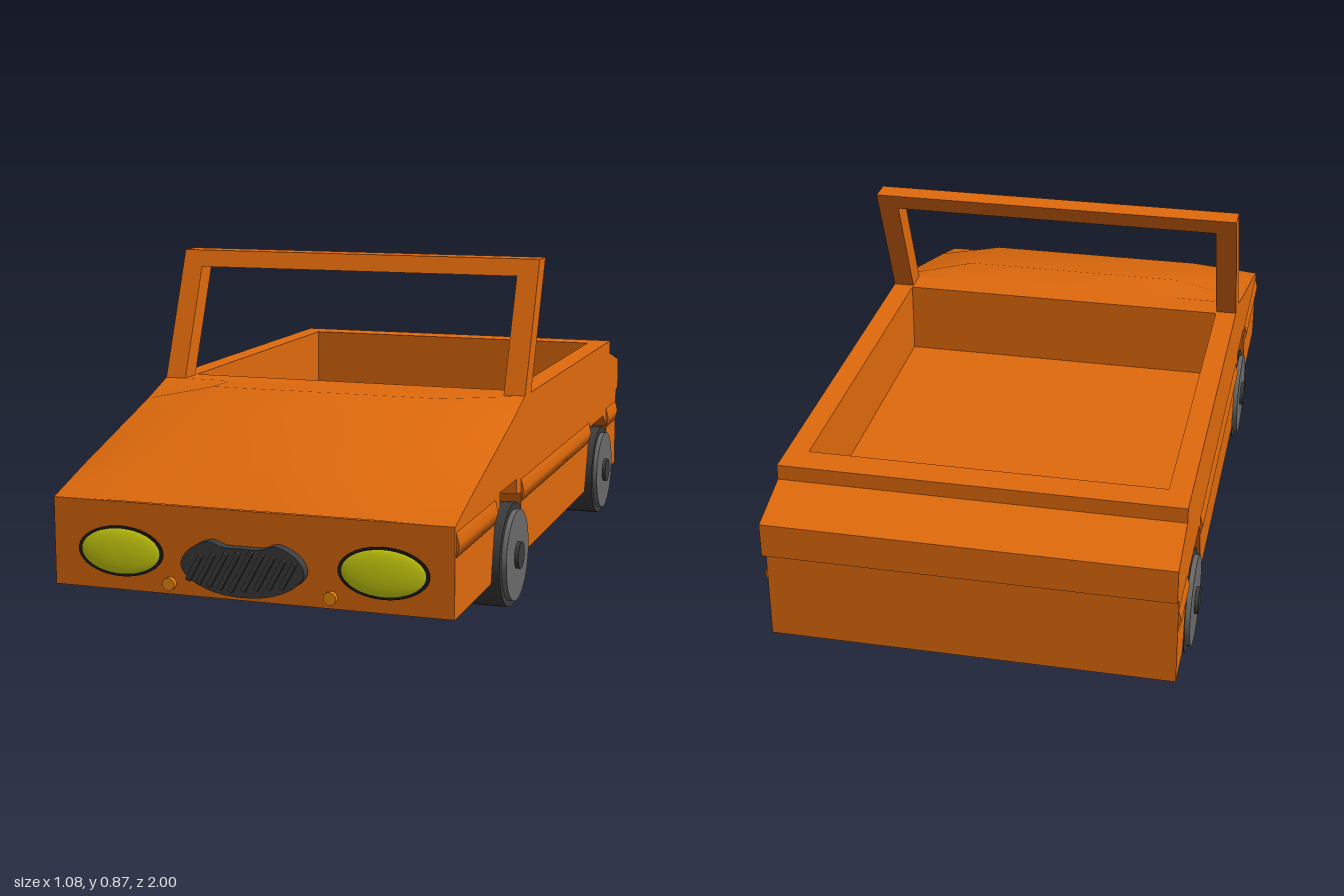
import * as THREE from 'three';
import { toCreasedNormals } from 'three/addons/utils/BufferGeometryUtils.js';

const material = (color) => new THREE.MeshStandardMaterial({ color });
const MAT = {
  body: material(0xe06a0c),
  lamp: material(0xd8dc10),
  signal: material(0xf08a0a),
  dark: material(0x3c3c3c),
  black: material(0x1c1c1c),
  rim: material(0x6a6a6a),
};
const CX = -0.0075;   // body centre line
const HALF = 0.5125;  // half the body width

function add(parent, name, geometry, mat, x = 0, y = 0, z = 0) {
  const mesh = new THREE.Mesh(geometry, mat);
  mesh.name = name;
  mesh.position.set(x, y, z);
  parent.add(mesh);
  return mesh;
}

const outline = (points) => new THREE.Shape(points.map(([a, b]) => new THREE.Vector2(a, b)));

// Extrudes a side outline of [z, y] points across the car from x0 to x1
function across(points, x0, x1) {
  const g = new THREE.ExtrudeGeometry(outline(points), { depth: x1 - x0, bevelEnabled: false });
  return g.rotateY(-Math.PI / 2).translate(x1, 0, 0);
}

function createLowerBody() {
  const group = new THREE.Group();
  group.name = 'lowerBody';
  // Solid middle between the wheel wells; its top is the cabin floor
  add(group, 'floorPan', new THREE.BoxGeometry(0.8, 0.22, 1.93), MAT.body, CX, 0.21, -0.005);
  // Side panels with wheel arches
  const side = [
    [0.96, 0.1], [0.96, 0.32], [-0.97, 0.32], [-0.97, 0.1],
    [-0.845, 0.1], [-0.81, 0.25], [-0.76, 0.29], [-0.56, 0.29], [-0.54, 0.25], [-0.49, 0.1],
    [0.3, 0.1], [0.335, 0.27], [0.38, 0.275], [0.38, 0.315], [0.55, 0.315], [0.55, 0.275],
    [0.595, 0.27], [0.63, 0.1],
  ];
  for (const s of [-1, 1]) {
    const [a, b] = [CX + s * 0.4, CX + s * HALF];
    add(group, 'sidePanel', across(side, Math.min(a, b), Math.max(a, b)), MAT.body);
    // Raised waist moulding, broken at the arches
    for (const [z0, z1] of [[0.33, -0.54], [0.95, 0.595], [-0.81, -0.965]]) {
      const strip = new THREE.CylinderGeometry(0.03, 0.03, z0 - z1, 4).rotateX(Math.PI / 2);
      strip.scale(0.25, 1, 1);
      add(group, 'waistMoulding', strip, MAT.body, b, 0.275, (z0 + z1) / 2);
    }
  }
  return group;
}

// Bonnet grid: flat crown, sides falling to a straight edge, vertical skirts
function createHood() {
  const xs = [-HALF, -HALF, -0.32, 0, 0.32, HALF, HALF];
  const rows = [[0.3, 0.52, 0.52], [0.42, 0.48, 0.522], [0.8, 0.37, 0.41], [0.96, 0.32, 0.322]];
  const g = new THREE.PlaneGeometry(1, 1, xs.length - 1, rows.length - 1);
  const p = g.attributes.position;
  for (let i = 0; i < p.count; i++) {
    const c = i % xs.length;
    const [z, edge, crown] = rows[Math.floor(i / xs.length)];
    const skirt = c === 0 || c === xs.length - 1;
    const y = skirt ? 0.32 : c === 1 || c === xs.length - 2 ? edge : crown;
    p.setXYZ(i, CX + xs[c], y, z);
  }
  return toCreasedNormals(g, 0.6);
}

// Open tub walls around the cabin
function createTub() {
  const shape = outline([[-HALF, -0.3], [HALF, -0.3], [HALF, 0.85], [-HALF, 0.85]]);
  shape.holes.push(outline([[-0.455, -0.22], [-0.455, 0.77], [0.455, 0.77], [0.455, -0.22]]));
  const g = new THREE.ExtrudeGeometry(shape, { depth: 0.2, bevelEnabled: false });
  return g.rotateX(-Math.PI / 2).translate(CX, 0.32, 0);
}

// Upright frame sheared backwards
function createWindscreenFrame() {
  const w = 0.455;
  const shape = outline([
    [-HALF, 0.52], [-w, 0.52], [-w, 0.82], [w, 0.82], [w, 0.52],
    [HALF, 0.52], [HALF, 0.865], [-HALF, 0.865],
  ]);
  const g = new THREE.ExtrudeGeometry(shape, { depth: 0.068, bevelEnabled: false });
  const p = g.attributes.position;
  for (let i = 0; i < p.count; i++) {
    p.setZ(i, p.getZ(i) + 0.232 - (p.getY(i) - 0.52) * 0.42);
  }
  g.translate(CX, 0, 0);
  g.computeVertexNormals();
  return g;
}

// One wheel pointing towards side s
function createWheel(s, z) {
  const wheel = new THREE.Group();
  wheel.name = 'wheel';
  const disc = (name, r, x0, x1, mat) => {
    const g = new THREE.CylinderGeometry(r, r, x1 - x0, 32).rotateZ(Math.PI / 2);
    add(wheel, name, g, mat, s * (x0 + x1) / 2);
  };
  disc('tyre', 0.135, 0.405, 0.517, MAT.dark);
  disc('rim', 0.118, 0.5, 0.53, MAT.rim);
  disc('hubCap', 0.035, 0.52, 0.54, MAT.dark);
  wheel.position.set(0, 0.135, z);
  return wheel;
}

function createGrille() {
  const grille = new THREE.Group();
  grille.name = 'grille';
  // Kidney-shaped plate
  const half = [[0, -0.065], [0.08, -0.055], [0.14, -0.025], [0.158, 0.005], [0.14, 0.04],
    [0.085, 0.066], [0.05, 0.055], [0, 0.054]];
  const loop = [...half, ...half.slice(1, -1).reverse().map(([x, y]) => [-x, y])];
  const curve = new THREE.CatmullRomCurve3(loop.map(([x, y]) => new THREE.Vector3(x, y, 0)), true);
  const shape = new THREE.Shape(curve.getPoints(48).map((v) => new THREE.Vector2(v.x, v.y)));
  const plate = new THREE.ExtrudeGeometry(shape, { depth: 0.03, bevelEnabled: false });
  add(grille, 'grillePlate', plate, MAT.dark);
  // Slanted slats
  for (let i = -4; i <= 4; i++) {
    const slat = new THREE.BoxGeometry(0.012, 0.115 - Math.abs(i) * 0.011, 0.016);
    add(grille, 'grilleSlat', slat, MAT.dark, i * 0.03, 0, 0.032).rotation.z = -0.5;
  }
  grille.position.set(-0.012, 0.18, 0.958);
  return grille;
}

export function createModel() {
  const car = new THREE.Group();
  car.name = 'openCar';

  car.add(createLowerBody());
  add(car, 'hood', createHood(), MAT.body);
  add(car, 'cabinTub', createTub(), MAT.body);
  add(car, 'windscreenFrame', createWindscreenFrame(), MAT.body);

  // Sloping tail with an overhanging lip
  const tail = [[-0.85, 0.32], [-0.85, 0.48], [-1, 0.44], [-1, 0.35], [-0.97, 0.34], [-0.97, 0.32]];
  add(car, 'tailDeck', across(tail, CX - HALF, CX + HALF), MAT.body);

  for (const s of [-1, 1]) {
    for (const z of [0.46, -0.67]) car.add(createWheel(s, z));
    // Oval headlamp with a dark surround
    const x = CX / 2 + s * 0.337;
    const surround = new THREE.CylinderGeometry(1, 1, 1, 40).rotateX(Math.PI / 2);
    add(car, 'headlampSurround', surround, MAT.black, x, 0.197, 0.96).scale.set(0.113, 0.063, 0.006);
    const lens = new THREE.SphereGeometry(1, 40, 20);
    add(car, 'headlamp', lens, MAT.lamp, x, 0.197, 0.96).scale.set(0.109, 0.059, 0.01);
    const signal = new THREE.CylinderGeometry(0.016, 0.016, 0.02, 20).rotateX(Math.PI / 2);
    add(car, 'turnSignal', signal, MAT.signal, CX / 2 + s * 0.207, 0.127, 0.962);
  }
  car.add(createGrille());
  return car;
}
